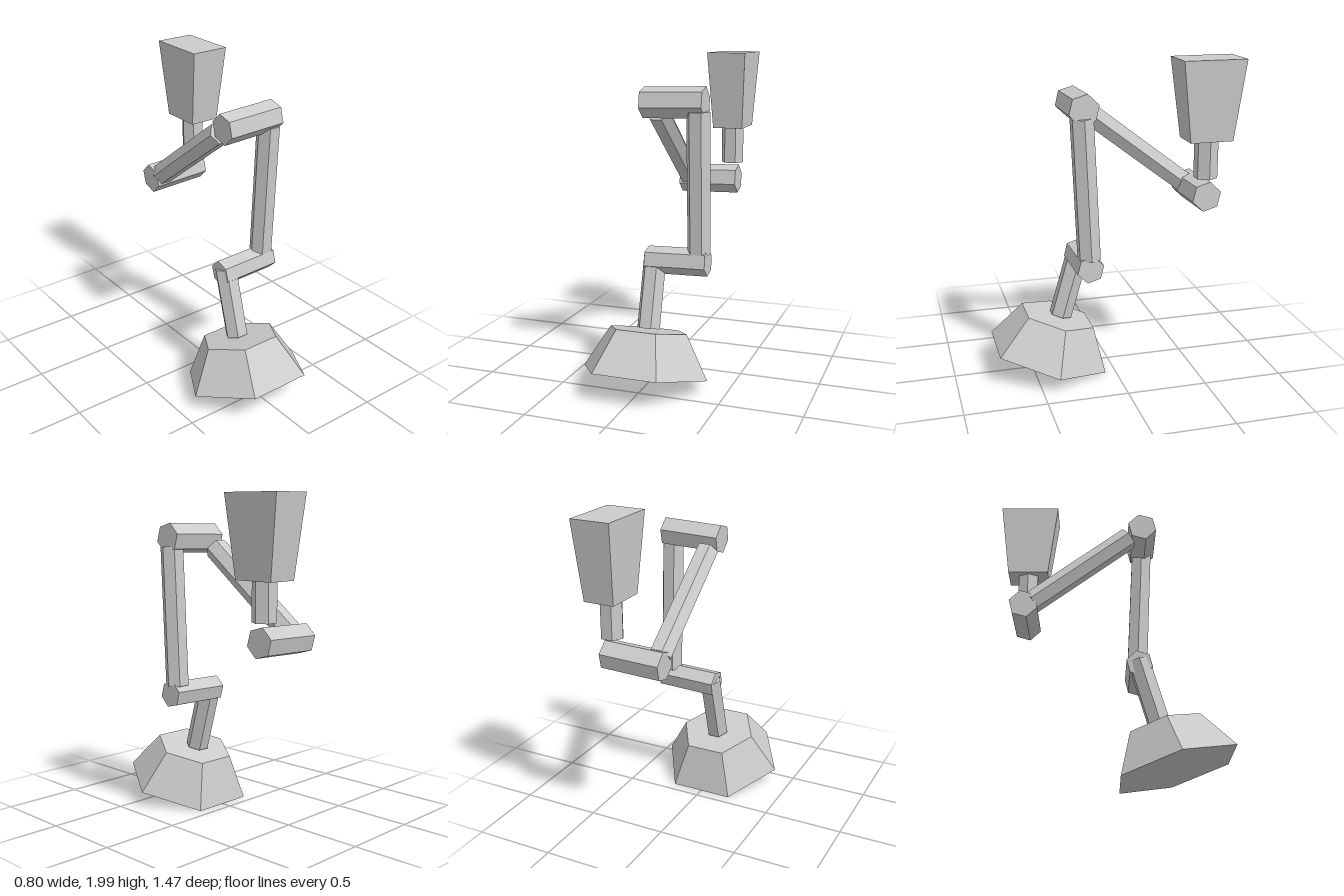
import * as THREE from 'three';

const material = new THREE.MeshStandardMaterial({ color: 0xcccccc, flatShading: true });

function part(name, geometry) {
  const mesh = new THREE.Mesh(geometry, material);
  mesh.name = name;
  return mesh;
}

// six-sided bar between two points, corners pointing to the sides
function hexBar(name, from, to, rFrom, rTo = rFrom) {
  const a = new THREE.Vector3(...from), b = new THREE.Vector3(...to);
  const dir = b.clone().sub(a);
  const mesh = part(name, new THREE.CylinderGeometry(rTo, rFrom, dir.length(), 6, 1, false, Math.PI / 2));
  mesh.position.copy(a).add(b).multiplyScalar(0.5);
  mesh.quaternion.setFromUnitVectors(new THREE.Vector3(0, 1, 0), dir.normalize());
  return mesh;
}

// six-sided sideways joint, turned about its axis and slightly raised at the left end
function joint(name, center, radius) {
  const geometry = new THREE.CylinderGeometry(radius, radius, 0.385, 6, 1, false, 0.28);
  geometry.rotateZ(-Math.PI / 2);
  const mesh = part(name, geometry);
  mesh.position.set(...center);
  mesh.rotation.z = 0.028;
  return mesh;
}

// box whose lower end is narrowed
function taperedHead() {
  const geometry = new THREE.BoxGeometry(0.248, 0.485, 0.387);
  const p = geometry.attributes.position;
  for (let i = 0; i < p.count; i++) {
    if (p.getY(i) < 0) p.setXYZ(i, p.getX(i) * 0.78, p.getY(i), p.getZ(i) * 0.687);
  }
  geometry.computeVertexNormals();
  const mesh = part('head', geometry);
  mesh.position.set(0.277, 1.7575, -0.54);
  return mesh;
}

export function createModel() {
  const model = new THREE.Group();
  model.name = 'jointedArm';
  model.add(
    // tilted foot
    hexBar('base', [0, 0.1, 0.4], [0, 0.35, 0.331], 0.4, 0.248),
    // arm links and joints, from the base upwards
    hexBar('lowerLink', [-0.005, 0.355, 0.31], [-0.005, 0.785, 0.186], 0.073),
    joint('lowerJoint', [0.142, 0.763, 0.19], 0.084),
    hexBar('middleLink', [0.277, 0.82, 0.187], [0.277, 1.68, 0.226], 0.073),
    joint('elbowJoint', [0.127, 1.728, 0.22], 0.094),
    hexBar('upperLink', [-0.007, 1.666, 0.13], [-0.007, 1.19, -0.49], 0.073),
    joint('wristJoint', [0.127, 1.16, -0.54], 0.094),
    hexBar('neck', [0.277, 1.278, -0.541], [0.277, 1.52, -0.541], 0.073),
    taperedHead()
  );
  return model;
}
